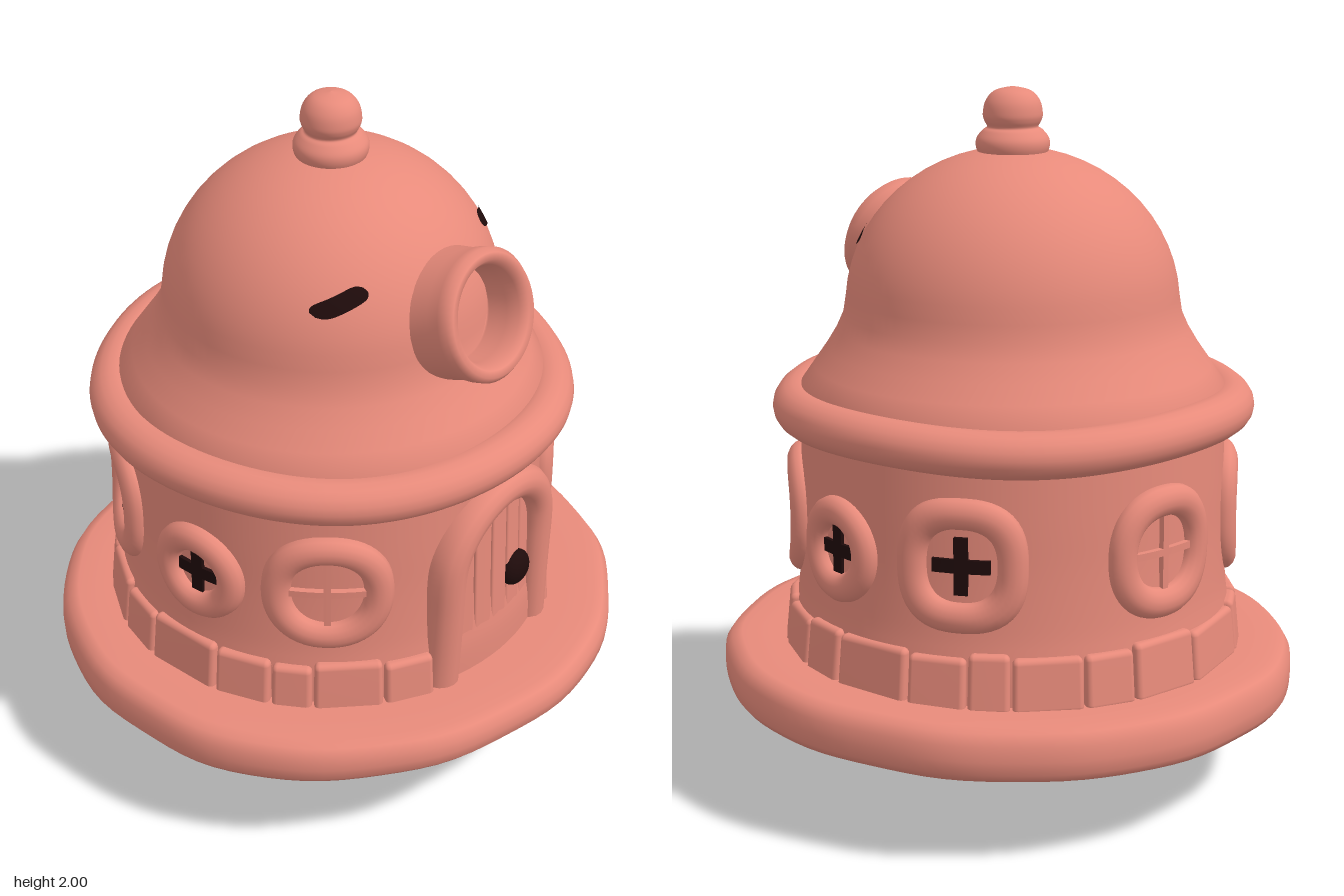
import * as THREE from 'three';
import { mergeVertices } from 'three/addons/utils/BufferGeometryUtils.js';
import { RoundedBoxGeometry } from 'three/addons/geometries/RoundedBoxGeometry.js';

const material = (name, color) => {
  const m = new THREE.MeshStandardMaterial({ color });
  m.name = name;
  return m;
};
const V = (x, y, z) => new THREE.Vector3(x, y, z);

// Move every vertex by a rule, then rebuild the normals (welded when smooth).
function deform(geo, rule, smooth = true) {
  if (smooth) {
    geo.deleteAttribute('normal');
    geo.deleteAttribute('uv');
    geo = mergeVertices(geo, 1e-5);
  }
  const p = geo.attributes.position, v = V();
  for (let i = 0; i < p.count; i++) {
    v.fromBufferAttribute(p, i);
    rule(v);
    p.setXYZ(i, v.x, v.y, v.z);
  }
  geo.computeVertexNormals();
  return geo;
}

// Bend a flat piece (x across, y up, z outward) around the round wall.
const wrap = (geo, azimuth, radius, smooth = true, taper = 0) => deform(geo, (v) => {
  const a = azimuth + v.x / radius;
  const r = radius + v.z + (0.48 - v.y) * taper;
  v.set(r * Math.sin(a), v.y, r * Math.cos(a));
}, smooth);

const lathe = (points, curved = true, segments = 96) => {
  let pts = points.map(([r, y]) => new THREE.Vector2(r, y));
  if (curved) pts = new THREE.SplineCurve(pts).getPoints(points.length * 4);
  pts.forEach((p) => { p.x = Math.max(p.x, 0); });
  return new THREE.LatheGeometry(pts, segments);
};

export function createModel() {
  const clay = material('clay', 0xea8c7c);
  const dark = material('dark openings', 0x1f0b0b);
  const brown = material('brown underside', 0x5c371a);
  const model = new THREE.Group();
  model.name = 'roundHouse';
  const house = new THREE.Group();
  house.name = 'house';
  house.position.z = -0.02;
  model.add(house);
  const add = (parent, name, geo, mat = clay) => {
    const mesh = new THREE.Mesh(geo, mat);
    mesh.name = name;
    parent.add(mesh);
    return mesh;
  };

  // Uneven ground slab, its underside rising toward the front
  const slabRule = (v) => {
    const a = Math.atan2(v.x, v.z), f = v.z / 0.83, t = (0.41 - v.y) / 0.15;
    const k = 1 + 0.003 * Math.sin(5 * a + 1) + 0.003 * Math.sin(9 * a) + 0.003 * Math.sin(14 * a + 2);
    v.x *= k;
    v.z *= k;
    v.y += 0.012 * f + t * (f > 0 ? 0.04 * f * f : 0.008 * f);
  };
  add(model, 'groundSlab', deform(lathe([[0.775, 0.267], [0.812, 0.272], [0.829, 0.295], [0.831, 0.33],
    [0.828, 0.37], [0.81, 0.4], [0.78, 0.41], [0.7, 0.41], [0.5, 0.41]], false), slabRule));
  add(model, 'slabUnderside', deform(lathe([0, 0.2, 0.4, 0.6, 0.7, 0.775].map((r) => [r, 0.267]), false),
    slabRule), brown);

  // Tapered stem under the slab
  add(model, 'stem', lathe([[0, 0], [0.08, 0], [0.09, 0.006], [0.115, 0.06], [0.143, 0.13],
    [0.163, 0.21], [0.17, 0.31]], false, 48));

  // Wall
  add(house, 'wall', lathe([[0.635, 0.38], [0.632, 0.5], [0.62, 0.6], [0.612, 0.75], [0.61, 0.9], [0.606, 1.12]]));

  // Course of uneven stones, leaving room for the door
  const stones = new THREE.Group();
  stones.name = 'stoneCourse';
  house.add(stones);
  const widths = [0.28, 0.13, 0.2, 0.16, 0.24, 0.17, 0.12, 0.2, 0.15, 0.22];
  const radius = 0.635, start = 0.41, end = Math.PI * 2 - 0.41;
  const list = Array.from({ length: 19 }, (_, i) => widths[i % widths.length]);
  const fit = (end - start) / list.reduce((s, w) => s + w, 0);
  let angle = start;
  list.forEach((w, i) => {
    const span = w * fit, height = 0.155 + 0.008 * Math.sin(i * 2.3);
    const stone = new RoundedBoxGeometry(span * radius - 0.006, height, 0.06, 3, 0.016);
    stone.translate(0, 0.39 + height / 2, -0.008);
    add(stones, 'stone', wrap(stone, angle + span / 2, radius, true, 0.1));
    angle += span;
  });

  // Windows: azimuth, height, half width, half height, squareness, half size of a dark cross (0 for plain bars)
  const windows = [
    [50, 0.79, 0.185, 0.187, 2.2, 0], [-51, 0.79, 0.185, 0.187, 2.2, 0],
    [88.5, 0.773, 0.152, 0.15, 2, 0.066], [-87, 0.773, 0.152, 0.15, 2, 0.066],
    [126.5, 0.79, 0.182, 0.188, 2.6, 0.08], [-128, 0.79, 0.182, 0.188, 2.6, 0.08],
    [181, 0.79, 0.18, 0.187, 2.3, 0],
  ];
  for (const [deg, y, w, h, n, cross] of windows) {
    const az = THREE.MathUtils.degToRad(deg), g = new THREE.Group();
    g.name = 'window';
    house.add(g);
    const ring = deform(new THREE.TorusGeometry(w - 0.042, 0.042, 14, 56), (v) => {
      const t = Math.atan2(v.y, v.x);
      const k = (Math.abs(Math.cos(t)) ** n + Math.abs(Math.sin(t)) ** n) ** (-1 / n);
      v.set(v.x * k, v.y * k * h / w + y, v.z * 0.9);
    });
    add(g, 'windowFrame', wrap(ring, az, 0.613));
    const size = cross ? 0.038 : 0.02, depth = cross ? 0.018 : 0.03, half = cross || 0.11;
    for (const [bw, bh] of [[half * 2, size], [size, half * 2]]) {
      const bar = new THREE.BoxGeometry(bw, bh, depth, 6, 1, 1).translate(0, y, 0);
      add(g, 'windowCross', wrap(bar, az, 0.613, false), cross ? dark : clay);
    }
  }

  // Arched door with planks, a nearly flat frame that leans out slightly, and a knob
  const door = new THREE.Group();
  door.name = 'door';
  house.add(door);
  const path = [V(-0.212, 0.38, 0), V(-0.208, 0.52, 0), V(-0.206, 0.66, 0)];
  for (let i = 0; i <= 12; i++) {
    const a = Math.PI * (1 - i / 12);
    path.push(V(0.205 * Math.cos(a), 0.775 + 0.205 * Math.sin(a), 0));
  }
  path.push(V(0.206, 0.66, 0), V(0.208, 0.52, 0), V(0.212, 0.38, 0));
  const frame = new THREE.TubeGeometry(new THREE.CatmullRomCurve3(path), 80, 0.05, 14);
  add(door, 'doorFrame', deform(frame, (v) => {
    v.z = (v.z < 0 ? v.z * 2 : v.z) + 0.604 - 0.25 * v.x * v.x + (v.y - 0.775) * 0.035;
  }));
  for (let i = 0; i < 5; i++) {
    const x = (i - 2) * 0.068, top = 0.775 + Math.sqrt(0.195 ** 2 - x * x);
    const plank = new RoundedBoxGeometry(0.065, top - 0.39, 0.04, 2, 0.008);
    plank.translate(x, (top + 0.39) / 2, 0);
    add(door, 'doorPlank', wrap(plank, 0, 0.608, true, 0.03));
  }
  const knob = add(door, 'doorKnob', new THREE.SphereGeometry(0.055, 28, 18), dark);
  knob.position.set(0.08, 0.662, 0.615);
  knob.scale.z = 0.65;

  // Roof: flared skirt running into a dome
  const domeY = 1.385, domeR = 0.475, domeH = 0.445;
  const roof = [[0.6, 1.12], [0.605, 1.165], [0.567, 1.22], [0.532, 1.27], [0.502, 1.32], [0.482, 1.365]];
  for (let a = 4; a < 90; a += 6) {
    const t = THREE.MathUtils.degToRad(a);
    roof.push([domeR * Math.cos(t), domeY + domeH * Math.sin(t)]);
  }
  roof.push([0, domeY + domeH]);
  add(house, 'roof', lathe(roof, false));
  const rim = new THREE.TorusGeometry(0.621, 0.07, 18, 120).rotateX(Math.PI / 2);
  add(house, 'roofRim', deform(rim, (v) => {
    const a = Math.atan2(v.x, v.z);
    const k = 1 + 0.007 * Math.sin(3 * a + 0.6) + 0.004 * Math.sin(5 * a);
    v.set(v.x * k, v.y * 0.92 + 1.107 + 0.006 * Math.sin(4 * a + 1), v.z * k);
  }));

  // Slanted slits either side of the pipe, as thin strips following the dome
  for (const s of [-1, 1]) {
    const strip = new THREE.PlaneGeometry(0.13, 0.036, 20, 4);
    add(house, 'roofSlit', deform(strip, (v) => {
      v.y *= Math.sqrt(Math.max(0.1, 1 - (Math.abs(v.x) / 0.065) ** 6));
      v.applyAxisAngle(V(0, 0, 1), -0.43 * s);
      const x = v.x + 0.302 * s, y = v.y + 1.594 - domeY;
      const z = domeR * Math.sqrt(1 - (x / domeR) ** 2 - (y / domeH) ** 2);
      v.set(x, y, z).multiplyScalar(1.01);
      v.y += domeY;
    }));
    house.children.at(-1).material = dark;
  }

  // Finial
  add(house, 'finial', lathe([[0.09, 1.8], [0.103, 1.83], [0.102, 1.855], [0.085, 1.878], [0.072, 1.888],
    [0.08, 1.905], [0.084, 1.925], [0.076, 1.96], [0.05, 1.988], [0, 2]], true, 48));

  // Hollow pipe on the roof front, tilted upward
  const pipe = add(model, 'roofPipe', lathe([[0.19, -0.26], [0.183, -0.16], [0.177, -0.08], [0.182, -0.04],
    [0.182, -0.012], [0.168, 0.004], [0.148, 0.002], [0.134, -0.02], [0.13, -0.06], [0.128, -0.12],
    [0.125, -0.125], [0, -0.125]], false, 56));
  pipe.position.set(0, 1.522, 0.54);
  pipe.rotation.x = 1.257;
  return model;
}
